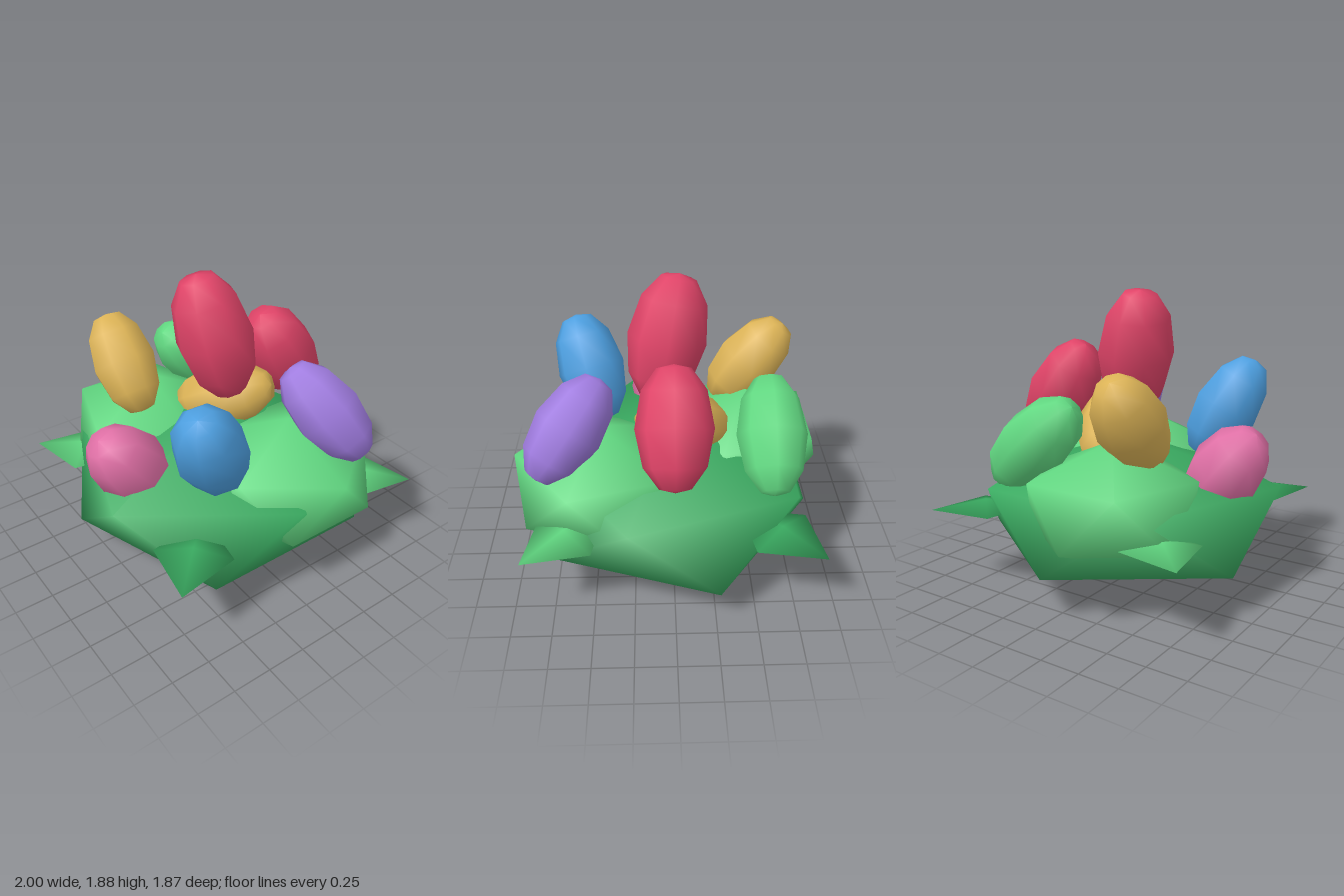
import * as THREE from 'three';
import { mergeVertices } from 'three/addons/utils/BufferGeometryUtils.js';

const mat = (name, color) => {
  const m = new THREE.MeshStandardMaterial({ color });
  m.name = name;
  return m;
};

// Smooth twelve-point blob: two poles and two staggered rings of five;
// the lower half may be shifted sideways
function blobGeometry(rx, ry, rz, shiftX = 0, shiftZ = 0) {
  const pts = [0, ry, 0];
  const ring = (y, turn, dx, dz) => {
    for (let k = 0; k < 5; k++) {
      const a = (k * 72 + turn) * Math.PI / 180;
      pts.push(0.894 * rx * Math.cos(a) + dx, y * ry, 0.894 * rz * Math.sin(a) + dz);
    }
  };
  ring(0.447, 0, 0, 0);
  ring(-0.447, 36, shiftX, shiftZ);
  pts.push(shiftX, -ry, shiftZ);
  const index = [];
  for (let k = 0; k < 5; k++) {
    const n = (k + 1) % 5;
    const u0 = 1 + k, u1 = 1 + n, l0 = 6 + k, l1 = 6 + n;
    index.push(0, u1, u0, u0, u1, l0, l0, u1, l1, 11, l0, l1);
  }
  const g = new THREE.BufferGeometry();
  g.setAttribute('position', new THREE.Float32BufferAttribute(pts, 3));
  g.setIndex(index);
  g.computeVertexNormals();
  return g;
}

// Thin pointed leaf with smooth normals
function leafGeometry() {
  let g = new THREE.OctahedronGeometry(1);
  g.deleteAttribute('normal');
  g.deleteAttribute('uv');
  g = mergeVertices(g);
  g.scale(0.24, 0.34, 0.055);
  g.computeVertexNormals();
  return g;
}

// Blunt-ended egg with eight sides
function eggGeometry(length, radius) {
  const profile = [[0, -1], [0.42, -0.94], [0.83, -0.6], [1.03, 0], [0.85, 0.6], [0.45, 0.94], [0, 1]];
  return new THREE.LatheGeometry(
    profile.map(([r, y]) => new THREE.Vector2(r * radius, y * length)), 8);
}

export function createModel() {
  const model = new THREE.Group();
  model.name = 'eggBush';

  const leafDark = mat('leaf green', 0x3aab61);
  const leafLight = mat('light green', 0x62d982);
  const red = mat('red', 0xe04468);
  const gold = mat('gold', 0xddb457);
  const blue = mat('blue', 0x4d9fe0);
  const purple = mat('purple', 0xa07ce0);
  const pink = mat('pink', 0xe070a6);

  const add = (name, geometry, material) => {
    const mesh = new THREE.Mesh(geometry, material);
    mesh.name = name;
    model.add(mesh);
    return mesh;
  };

  // Bush body and its two side lobes
  add('bushBody', blobGeometry(1.04, 0.47, 1.075, 0.03, -0.04), leafDark).position.set(-0.01, 0.47, 0.005);
  add('leftLobe', blobGeometry(0.595, 0.385, 0.595, 0.02), leafLight).position.set(0.468, 0.635, -0.24);
  add('rightLobe', blobGeometry(0.58, 0.38, 0.58), leafLight).position.set(-0.48, 0.65, 0.18);

  // Flat pointed leaves at the four corners, in alternating greens
  const up = new THREE.Vector3(0, 1, 0);
  for (const sx of [-1, 1]) {
    for (const sz of [-1, 1]) {
      const out = new THREE.Vector3(sx, 0, sz).normalize();
      const side = out.clone().cross(up);
      const leaf = add('cornerLeaf', leafGeometry(), sx === sz ? leafDark : leafLight);
      leaf.quaternion.setFromRotationMatrix(new THREE.Matrix4().makeBasis(side, out, up));
      leaf.position.set(0.66 * sx + 0.01, 0.51, 0.655 * sz - 0.035);
    }
  }

  // Eggs: centre, direction of the long axis, half length and radius
  const eggs = [
    ['topRedEgg', red, [0.03, 1.48, 0.01], [-0.2, 1, 0.2], 0.41, 0.24],
    ['backRedEgg', red, [0, 1.19, -0.56], [0, 0.62, 0.38], 0.37, 0.225],
    ['rightGoldEgg', gold, [-0.52, 1.15, 0.34], [-0.8, 1, 0], 0.345, 0.21],
    ['centreGoldEgg', gold, [-0.07, 0.96, -0.14], [0.5, 0.26, -0.35], 0.35, 0.21],
    ['blueEgg', blue, [0.54, 1.08, 0.4], [0.2, 0.65, 0.32], 0.37, 0.22],
    ['purpleEgg', purple, [0.63, 1.09, -0.4], [-0.42, 0.55, 0.3], 0.36, 0.21],
    ['greenEgg', leafLight, [-0.61, 0.97, -0.3], [0, 0.45, 0.5], 0.385, 0.215],
    ['pinkEgg', pink, [0.04, 0.79, 0.65], [0, 0.7, 0.55], 0.33, 0.225],
  ];
  for (const [name, material, centre, axis, length, radius] of eggs) {
    const egg = add(name, eggGeometry(length, radius), material);
    egg.quaternion.setFromUnitVectors(up, new THREE.Vector3(...axis).normalize());
    egg.position.set(...centre);
  }
  return model;
}
